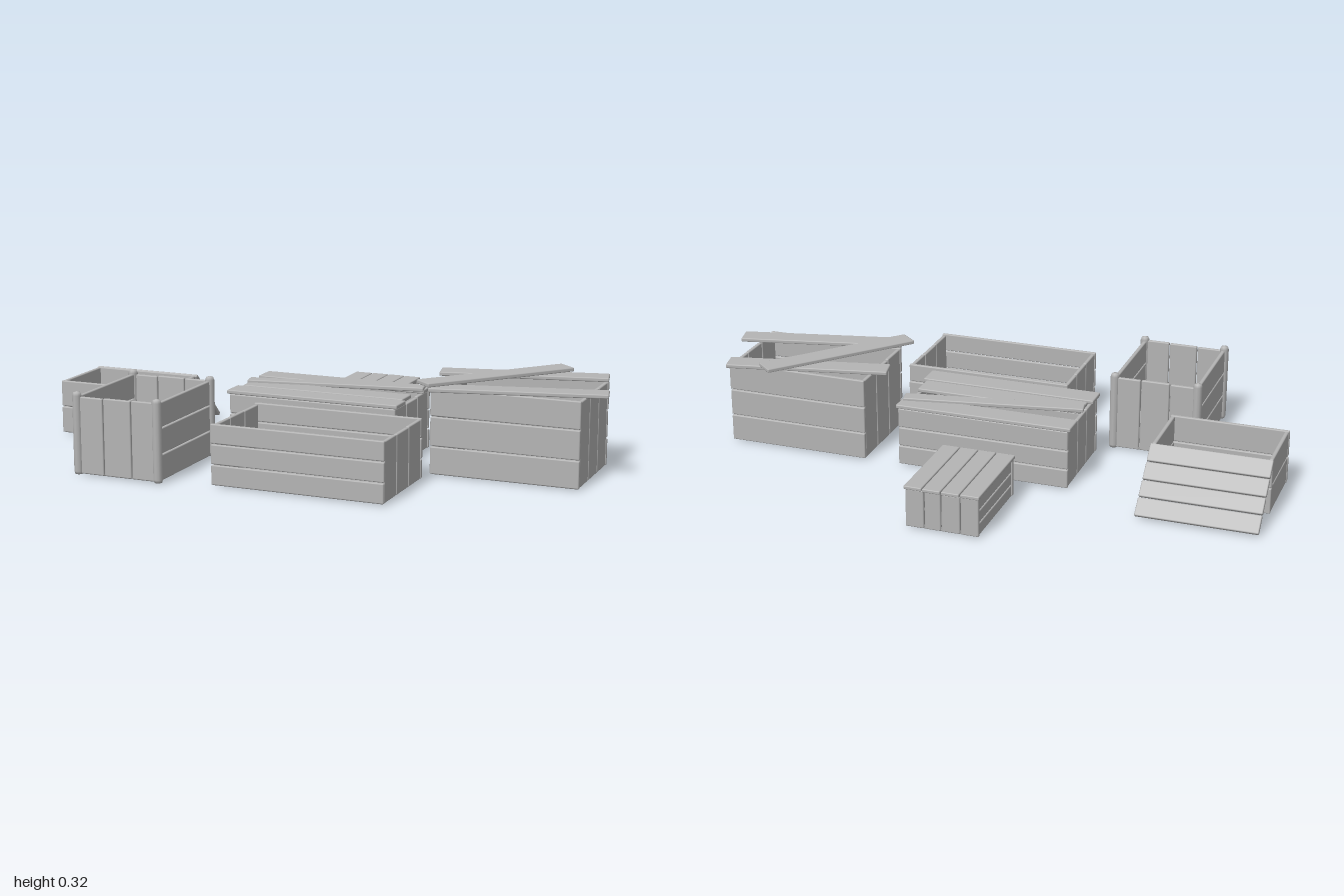
import * as THREE from 'three';
import { RoundedBoxGeometry } from 'three/addons/geometries/RoundedBoxGeometry.js';

const wood = new THREE.MeshStandardMaterial({ color: 0xb4b4b4 });
wood.name = 'plain grey wood';

let seed = 7;
const rand = () => {
  seed = (seed * 16807) % 2147483647;
  return seed / 2147483647 - 0.5;
};

// One chamfered board filling the box between two corners
function board(parent, name, x0, x1, y0, y1, z0, z1) {
  const s = [x1 - x0, y1 - y0, z1 - z0];
  const mesh = new THREE.Mesh(new RoundedBoxGeometry(...s, 1, Math.min(...s) * 0.28), wood);
  mesh.name = name;
  mesh.position.set((x0 + x1) / 2, (y0 + y1) / 2, (z0 + z1) / 2);
  parent.add(mesh);
  return mesh;
}

// Split a span into n boards with narrow seams of slightly varying position
function split(a, b, n, fn) {
  const cuts = [a];
  for (let i = 1; i < n; i++) cuts.push(a + ((b - a) * i) / n + rand() * 0.006);
  cuts.push(b);
  for (let i = 0; i < n; i++) {
    fn(cuts[i] + (i ? 0.0015 : 0), cuts[i + 1] - (i < n - 1 ? 0.0015 : 0));
  }
}

// Open box: walls on the z sides, walls on the x ends, and a floor
function crate(name, { x: [x0, x1], z: [z0, z1], h, sides, ends, floor = 3, sidesUp = false, endsUp = true, floorAlongZ = false }) {
  const g = new THREE.Group();
  g.name = name;
  const t = 0.014, y0 = 0.008;
  for (const z of [z0, z1 - t]) {
    if (sidesUp) split(x0, x1, sides, (a, b) => board(g, 'sideBoard', a, b, y0, h + rand() * 0.004, z, z + t));
    else split(y0, h, sides, (a, b) => board(g, 'sideBoard', x0 + Math.abs(rand()) * 0.004, x1 - Math.abs(rand()) * 0.004, a, b, z, z + t));
  }
  for (const x of [x0 + 0.003, x1 - t - 0.003]) {
    if (endsUp) split(z0 + t, z1 - t, ends, (a, b) => board(g, 'endBoard', x, x + t, y0, h - 0.003 + rand() * 0.004, a, b));
    else split(y0, h, ends, (a, b) => board(g, 'endBoard', x, x + t, a, b, z0 + t, z1 - t));
  }
  if (floorAlongZ) split(x0 + 0.006, x1 - 0.006, floor, (a, b) => board(g, 'floorBoard', a, b, 0.006, 0.02, z0 + 0.005, z1 - 0.005));
  else split(z0 + 0.005, z1 - 0.005, floor, (a, b) => board(g, 'floorBoard', x0 + 0.006, x1 - 0.006, 0.006, 0.02, a, b));
  return g;
}

// Loose plank lying flat, turned about the vertical axis
function plank(parent, x, z, y, length, width, angle, t = 0.014) {
  const m = board(parent, 'loosePlank', -length / 2, length / 2, 0, t, -width / 2, width / 2);
  m.position.set(x, y + t / 2, z);
  m.rotation.y = THREE.MathUtils.degToRad(angle);
}

export function createModel() {
  seed = 7;
  const model = new THREE.Group();
  model.name = 'woodenCrates';

  // Low crate with its lid leaning against the back
  const leaning = crate('crateWithLeaningLid', { x: [-0.995, -0.585], z: [-0.14, 0.13], h: 0.196, sides: 2, ends: 2, floor: 1, endsUp: false });
  const lid = new THREE.Group();
  lid.name = 'leaningLid';
  split(-0.128, 0.128, 4, (a, b) => board(lid, 'lidBoard', -0.205, 0.205, -0.007, 0.007, a, b));
  lid.position.set(-0.79, 0.105, -0.222);
  lid.rotation.x = -Math.PI / 4;
  leaning.add(lid);
  model.add(leaning);

  // Crate with rounded corner posts
  const posted = crate('crateWithPosts', { x: [-0.66, -0.35], z: [0.212, 0.608], h: 0.268, sides: 3, ends: 3, sidesUp: true, endsUp: false, floorAlongZ: true });
  const post = new THREE.LatheGeometry(
    [[0, 0.004], [0.013, 0.006], [0.016, 0.016], [0.016, 0.27], [0.012, 0.28], [0, 0.284]].map(p => new THREE.Vector2(...p)), 10);
  for (const x of [-0.652, -0.358]) for (const z of [0.22, 0.602]) {
    const m = new THREE.Mesh(post, wood);
    m.name = 'cornerPost';
    m.position.set(x, 0, z);
    posted.add(m);
  }
  model.add(posted);

  // Long open crate
  model.add(crate('openCrate', { x: [-0.185, 0.415], z: [0.225, 0.57], h: 0.21, sides: 3, ends: 3, floor: 2 }));

  // Long crate with a partly displaced lid
  const middle = crate('crateWithLooseLid', { x: [-0.315, 0.293], z: [-0.175, 0.16], h: 0.212, sides: 3, ends: 3 });
  for (const z of [-0.137, 0.025, 0.12]) plank(middle, -0.012, z, 0.213, z === 0.025 ? 0.59 : 0.622, 0.085, 0);
  plank(middle, -0.01, -0.055, 0.222, 0.62, 0.05, 10.5);
  model.add(middle);

  // Tall crate with three planks thrown on top
  const tall = crate('crateWithLoosePlanks', { x: [0.415, 0.925], z: [-0.178, 0.166], h: 0.296, sides: 3, ends: 3 });
  plank(tall, 0.645, -0.128, 0.296, 0.565, 0.078, 12.4);
  plank(tall, 0.704, 0.125, 0.296, 0.58, 0.076, 13);
  plank(tall, 0.583, -0.015, 0.311, 0.564, 0.078, 49.7);
  model.add(tall);

  // Small closed crate
  const closed = crate('closedCrate', { x: [-0.162, 0.087], z: [-0.618, -0.28], h: 0.14, sides: 4, ends: 3, sidesUp: true, endsUp: false, floor: 2, floorAlongZ: true });
  split(-0.166, 0.091, 4, (a, b) => board(closed, 'lidBoard', a, b, 0.139, 0.151, -0.624 + rand() * 0.004, -0.275));
  model.add(closed);

  return model;
}
